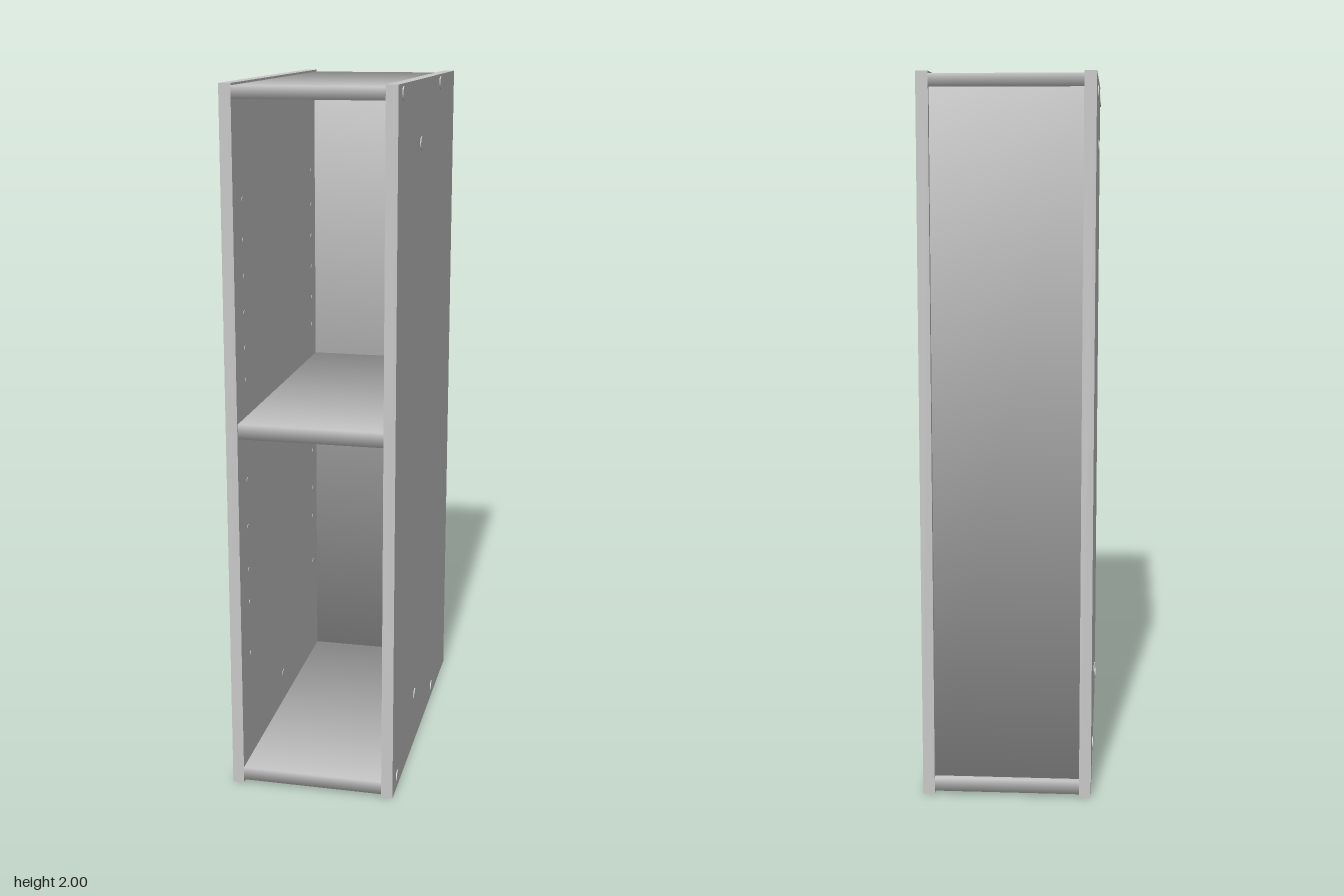
import * as THREE from 'three';

const grey = new THREE.MeshStandardMaterial({ color: 0xc8c8c8 });
grey.name = 'plain grey';

// Board given by its limits on each axis; soft boards blend normals over their edges
function board(name, [x0, x1], [y0, y1], [z0, z1], soft) {
  const geo = new THREE.BoxGeometry(x1 - x0, y1 - y0, z1 - z0);
  if (soft) {
    const p = geo.attributes.position;
    const n = new THREE.Vector3();
    for (let i = 0; i < p.count; i++) {
      n.set(Math.sign(p.getX(i)), Math.sign(p.getY(i)), Math.sign(p.getZ(i))).normalize();
      geo.attributes.normal.setXYZ(i, n.x, n.y, n.z);
    }
  }
  const mesh = new THREE.Mesh(geo, grey);
  mesh.name = name;
  mesh.position.set((x0 + x1) / 2, (y0 + y1) / 2, (z0 + z1) / 2);
  return mesh;
}

// Thin round cap lying on a side panel
function cap(name, radius, depth, x, y, z) {
  const geo = new THREE.CylinderGeometry(radius, radius, depth, 8);
  geo.rotateZ(Math.PI / 2);
  const mesh = new THREE.Mesh(geo, grey);
  mesh.name = name;
  mesh.position.set(x, y, z);
  return mesh;
}

export function createModel() {
  const cabinet = new THREE.Group();
  cabinet.name = 'cabinet';
  const outer = 0.237, inner = 0.204;
  const across = [-inner, inner];

  // Side panels
  cabinet.add(board('leftSidePanel', [inner, outer], [0, 2], [-0.48, 0.48], false));
  cabinet.add(board('rightSidePanel', [-outer, -inner], [0, 2], [-0.48, 0.48], false));

  // Horizontal boards and recessed back
  cabinet.add(board('topBoard', across, [1.96, 1.994], [-0.48, 0.48], true));
  cabinet.add(board('bottomBoard', across, [0.01, 0.048], [-0.48, 0.48], true));
  cabinet.add(board('shelf', across, [1.043, 1.085], [-0.445, 0.475], true));
  cabinet.add(board('backPanel', across, [0.048, 1.96], [-0.462, -0.445], true));

  // Screw caps on the outer faces
  const caps = {
    1: [[1.975, 0.41], [1.975, -0.205], [1.825, 0.125], [0.16, 0.125], [0.035, 0.41], [0.035, -0.205]],
    '-1': [[1.955, 0.435], [1.955, -0.185], [1.81, 0.1], [0.18, 0.1], [0.045, 0.435], [0.045, -0.185]],
  };
  for (const side of [1, -1]) {
    for (const [y, z] of caps[side]) {
      cabinet.add(cap('screwCap', 0.019, 0.006, side * outer, y, z));
    }
    // Shelf peg rows on the inner faces
    for (const y of [1.69, 1.58, 1.48, 1.38, 1.28, 1.19, 0.9, 0.76, 0.63, 0.53, 0.37]) {
      for (const z of [0.39, -0.39]) {
        cabinet.add(cap('shelfPeg', 0.008, 0.003, side * inner, y, z));
      }
    }
    cabinet.add(cap('innerCap', 0.013, 0.003, side * inner, 0.14, 0.02));
  }
  return cabinet;
}
